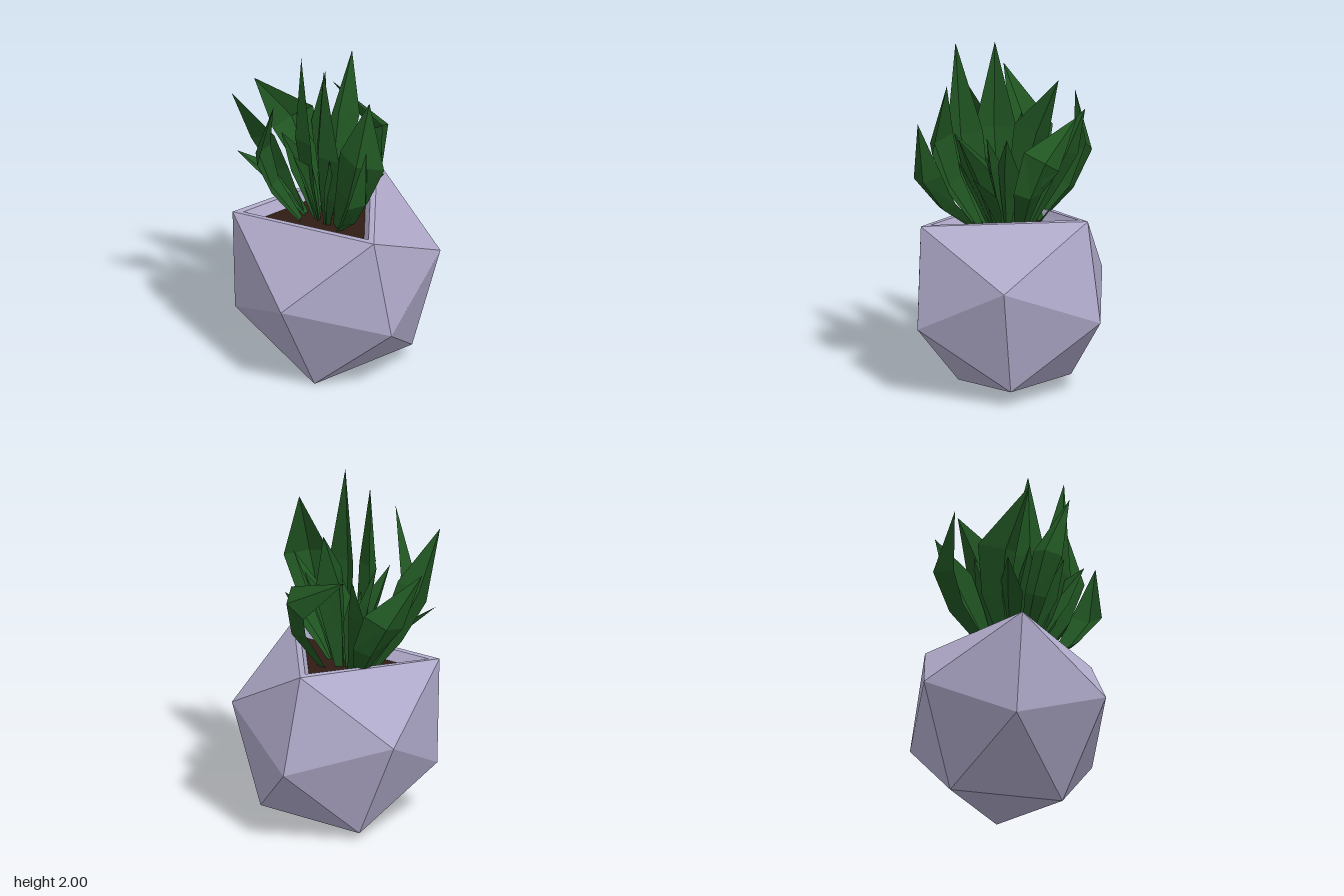
import * as THREE from 'three';

const V = (x, y, z) => new THREE.Vector3(x, y, z);
const heart = V(-0.03, 0.93, 0.06); // where the leaves sprout

// Flat-shaded mesh from a list of corner triples
function facetMesh(name, triangles, color) {
  const geometry = new THREE.BufferGeometry().setFromPoints(triangles.flat());
  geometry.computeVertexNormals();
  const material = new THREE.MeshStandardMaterial({ color, flatShading: true, side: THREE.DoubleSide });
  const mesh = new THREE.Mesh(geometry, material);
  mesh.name = name;
  return mesh;
}

// Folded leaf: four-cornered sections along a curve, narrow at the base and pointed at the tip
function leaf(mid, tip, yaw, halfWidth) {
  const base = heart.clone().lerp(mid, 0.4).setY(heart.y);
  const control = mid.clone().multiplyScalar(2).addScaledVector(base, -0.5).addScaledVector(tip, -0.5);
  const curve = new THREE.QuadraticBezierCurve3(base, control, tip);
  const angle = THREE.MathUtils.degToRad(yaw);
  const sections = [[0, 0.28], [0.27, 0.72], [0.55, 1], [1, 0]].map(([t, w]) => {
    const p = curve.getPoint(t), tangent = curve.getTangent(t);
    const side = V(Math.cos(angle), 0, Math.sin(angle));
    side.addScaledVector(tangent, -side.dot(tangent)).normalize();
    // The fold opens towards the middle of the plant
    const fold = tangent.clone().cross(side);
    if (fold.dot(heart.clone().sub(p).setY(0)) < 0) fold.negate();
    const at = (s, f) => p.clone()
      .addScaledVector(side, s * w * halfWidth).addScaledVector(fold, f * w * halfWidth);
    return [at(1, 0.25), at(0, -0.12), at(-1, 0.25), at(0, -0.32)];
  });
  const triangles = [];
  for (let i = 0; i < 3; i++) {
    for (let j = 0; j < 4; j++) {
      const k = (j + 1) % 4, lo = sections[i], hi = sections[i + 1];
      triangles.push([lo[j], lo[k], hi[k]]);
      if (i < 2) triangles.push([lo[j], hi[k], hi[j]]);
    }
  }
  return facetMesh('leaf', triangles, 0x205522);
}

export function createModel() {
  const model = new THREE.Group();
  model.name = 'pottedPlant';

  // Pot: tilted icosahedron, so each corner has an opposite one
  const opposite = (p) => V(-p.x, 1.04 - p.y, -p.z);
  const foot = [V(0.14, 0, 0.29), V(0.26, 0.09, -0.33), V(-0.34, 0.04, -0.13)];
  const half = [V(0.19, 0.57, 0.58), V(0.59, 0.42, 0.1), V(0.39, 0.71, -0.43)];
  const belt = [...half, ...half.map(opposite)];

  // The top face is widened and open, with a lip that slopes in to the soil
  const upper = [foot[2], foot[0], foot[1]].map(opposite);
  const center = V(0, 0, 0).add(upper[0]).add(upper[1]).add(upper[2]).divideScalar(3);
  const ring = (scale, drop) => upper.map((p) => center.clone().lerp(p, scale).setY(p.y - drop));
  const top = ring(1.48, 0), lip = ring(1.31, 0), floor = ring(1.16, 0.06);

  const pot = [[foot[0], foot[2], foot[1]]];
  for (let i = 0; i < 3; i++) {
    const n = (i + 1) % 3;
    const [a, b, c] = [0, 1, 2].map((k) => belt[(2 * i + k) % 6]);
    pot.push(
      [top[i], a, b], [top[i], b, c], [top[i], c, top[n]],
      [foot[i], b, a], [foot[i], foot[n], b], [foot[n], c, b],
      [top[i], top[n], lip[n]], [top[i], lip[n], lip[i]],
      [lip[i], lip[n], floor[n]], [lip[i], floor[n], floor[i]]);
  }
  model.add(facetMesh('pot', pot, 0xb0aaca));
  model.add(facetMesh('soil', [floor], 0x301c14));

  // Large leaves: middle, tip, yaw of the blade, half width
  const leaves = new THREE.Group();
  leaves.name = 'leaves';
  leaves.add(
    leaf(V(-0.47, 1.3, -0.08), V(-0.58, 1.61, 0.13), 120, 0.13),
    leaf(V(-0.36, 1.36, 0.27), V(-0.35, 1.73, 0.49), 5, 0.14),
    leaf(V(-0.16, 1.36, 0.43), V(0, 1.77, 0.475), 65, 0.09),
    leaf(V(0.15, 1.4, 0.23), V(0.185, 2, 0.26), 10, 0.12),
    leaf(V(-0.06, 1.42, 0.21), V(-0.065, 1.97, 0.215), 30, 0.12),
    leaf(V(0.38, 1.42, 0.17), V(0.385, 1.82, 0.09), -25, 0.14),
    leaf(V(-0.09, 1.45, -0.09), V(-0.16, 1.83, -0.24), 80, 0.13),
    leaf(V(0.03, 1.36, -0.31), V(-0.31, 1.58, -0.22), 20, 0.12),
    leaf(V(0.43, 1.22, 0.2), V(0.5, 1.59, 0.21), 70, 0.1),
    leaf(V(-0.28, 1.33, -0.12), V(-0.37, 1.62, -0.22), 20, 0.1));

  // Small leaves fill the middle and front
  const smallTips = [V(0.33, 1.3, -0.075), V(0.36, 1.52, 0.02), V(0.06, 1.45, 0.38),
    V(0.3, 1.5, 0.31), V(0.08, 1.45, 0.11), V(-0.42, 1.3, 0.39), V(-0.2, 1.55, 0.14),
    V(0.26, 1.5, 0.18), V(-0.14, 1.5, 0.3), V(0.12, 1.5, -0.12), V(-0.22, 1.5, -0.06)];
  smallTips.forEach((tip, i) => {
    const mid = heart.clone().lerp(tip, 0.58);
    leaves.add(leaf(mid, tip, 90 - 15 * (i % 4), 0.075));
  });
  model.add(leaves);
  return model;
}
